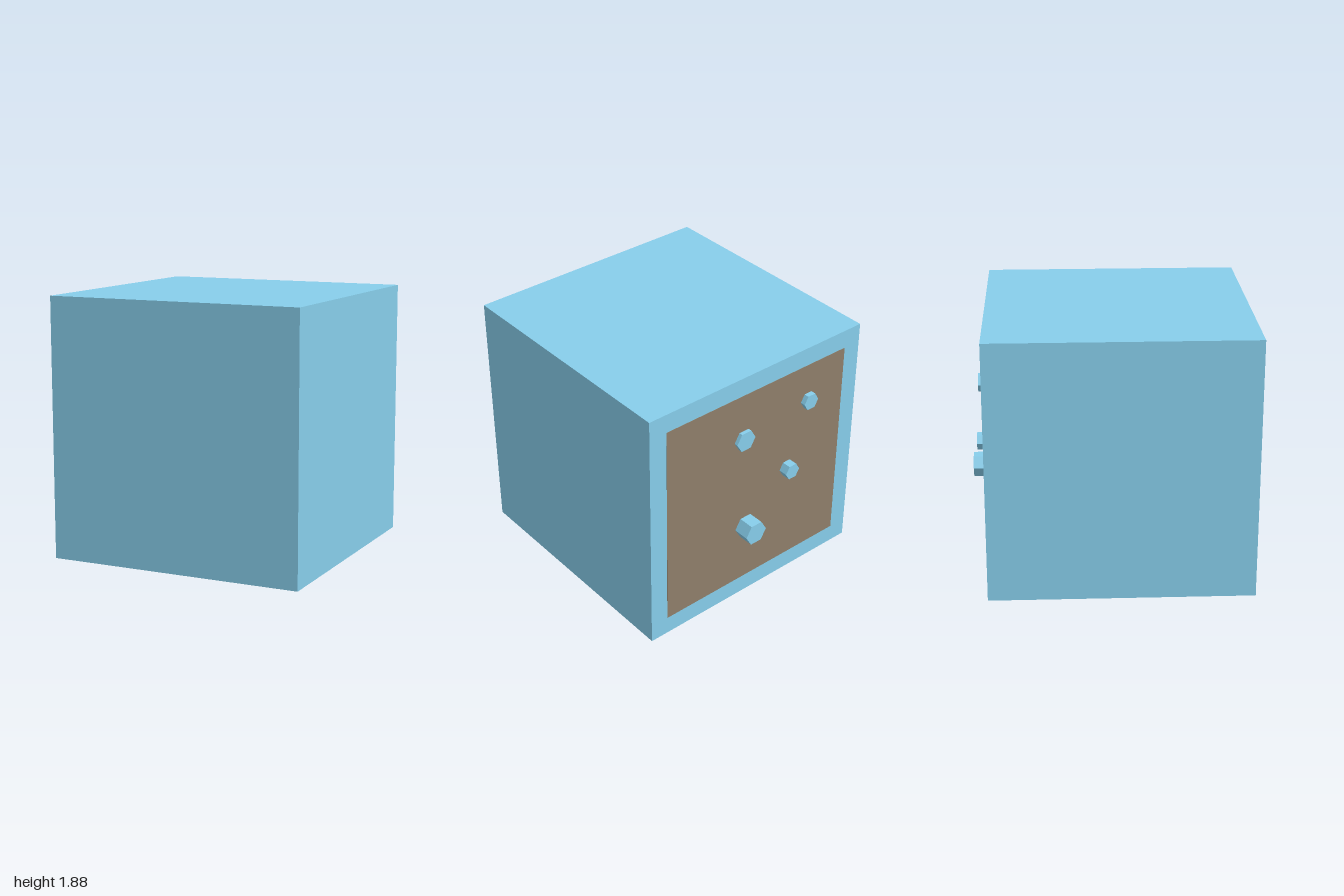
import * as THREE from 'three';

const BACK = -0.88;

export function createModel() {
  const group = new THREE.Group();
  const blue = new THREE.MeshStandardMaterial({ color: 0x87ceeb, flatShading: true });
  const brown = new THREE.MeshStandardMaterial({ color: 0x8f7f6b, flatShading: true });

  const add = (name, geometry, material, x, y, z) => {
    const mesh = new THREE.Mesh(geometry, material);
    mesh.name = name;
    mesh.position.set(x, y, z);
    group.add(mesh);
  };

  // Main block
  add('block', new THREE.BoxGeometry(1.88, 1.88, 1.88), blue, 0, 0.94, 0.06);

  // Square panel lying almost flush with the back face
  add('backPanel', new THREE.BoxGeometry(1.6, 1.6, 0.02), brown, 0, 0.94, BACK + 0.008);

  // Hexagonal studs on the back: x, y, radius, height above the face
  const studs = [
    [-0.465, 1.45, 0.065, 0.04],
    [0.128, 1.38, 0.082, 0.03],
    [-0.29, 0.945, 0.063, 0.07],
    [0.087, 0.61, 0.092, 0.12],
  ];
  studs.forEach(([x, y, r, h], i) => {
    // Corners point sideways; the base is sunk a little into the block
    const sink = 0.02;
    const hex = new THREE.CylinderGeometry(r, r, h + sink, 6, 1, false, Math.PI / 2);
    hex.rotateX(-Math.PI / 2);
    add(`stud${i + 1}`, hex, blue, x, y, BACK - (h - sink) / 2);
  });

  return group;
}
